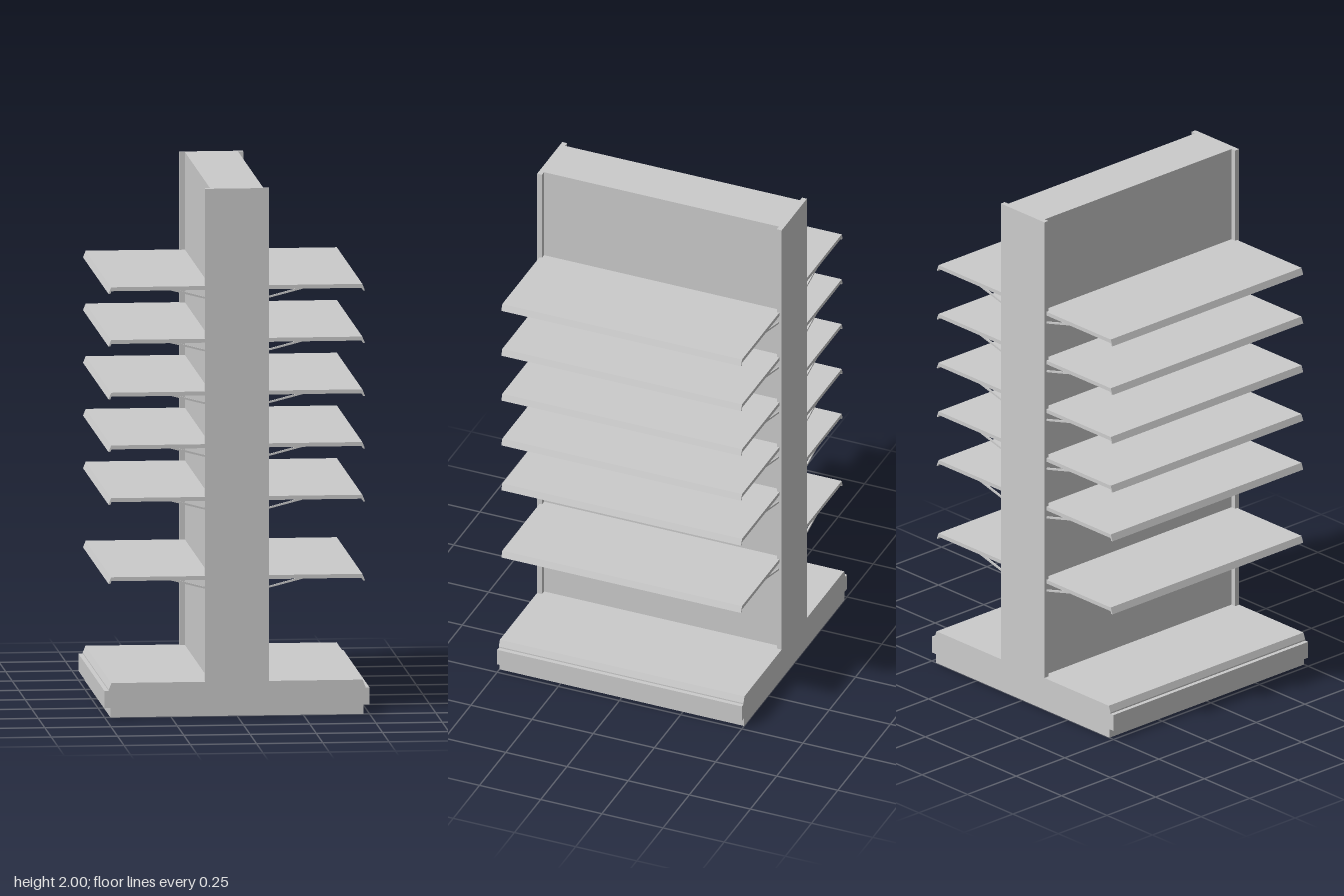
import * as THREE from 'three';

const material = new THREE.MeshStandardMaterial({ color: 0xcccccc, flatShading: true });

// Extrudes an x/y outline along z, centred on z = zMid
function prism(name, points, depth, zMid = 0) {
  const shape = new THREE.Shape(points.map(([x, y]) => new THREE.Vector2(x, y)));
  const geometry = new THREE.ExtrudeGeometry(shape, { depth, bevelEnabled: false });
  geometry.translate(0, 0, zMid - depth / 2);
  const mesh = new THREE.Mesh(geometry, material);
  mesh.name = name;
  return mesh;
}

function box(name, w, h, d, x, y, z) {
  const mesh = new THREE.Mesh(new THREE.BoxGeometry(w, h, d), material);
  mesh.name = name;
  mesh.position.set(x, y, z);
  return mesh;
}

// One shelf with its sloped front lip and two slim angled struts
function createShelf(side) {
  const shelf = new THREE.Group();
  shelf.name = side > 0 ? 'leftShelf' : 'rightShelf';
  const mirror = (points) => points.map(([x, y]) => [side * x, y]);
  shelf.add(prism('shelfBoard', mirror([
    [0.1, -0.015], [0.473, -0.015], [0.477, -0.025], [0.484, -0.025], [0.474, 0], [0.1, 0],
  ]), 0.98));
  for (const z of [-0.486, 0.486]) {
    shelf.add(prism('shelfStrut', mirror([
      [0.11, -0.05], [0.13, -0.046], [0.255, -0.014], [0.225, -0.014], [0.13, -0.039], [0.11, -0.043],
    ]), 0.006, z));
  }
  return shelf;
}

export function createModel() {
  const model = new THREE.Group();
  model.name = 'doubleSidedShelfUnit';

  // Base with bumper rails along both long sides
  const half = [
    [0.478, 0], [0.478, 0.035], [0.5, 0.035], [0.5, 0.1], [0.484, 0.1], [0.484, 0.105], [0.474, 0.13],
  ];
  const otherHalf = half.map(([x, y]) => [-x, y]).reverse();
  model.add(prism('base', [...half, ...otherHalf], 1));

  // Central wall and its wider end posts
  model.add(box('centralPanel', 0.2, 1.88, 0.97, 0, 1.06, 0));
  for (const z of [-0.49, 0.49]) {
    model.add(box('endPost', 0.24, 1.88, 0.02, 0, 1.06, z));
  }

  // Shelves on both sides
  for (const y of [0.53, 0.83, 1.03, 1.23, 1.43, 1.63]) {
    for (const side of [-1, 1]) {
      const shelf = createShelf(side);
      shelf.position.y = y;
      model.add(shelf);
    }
  }
  return model;
}
